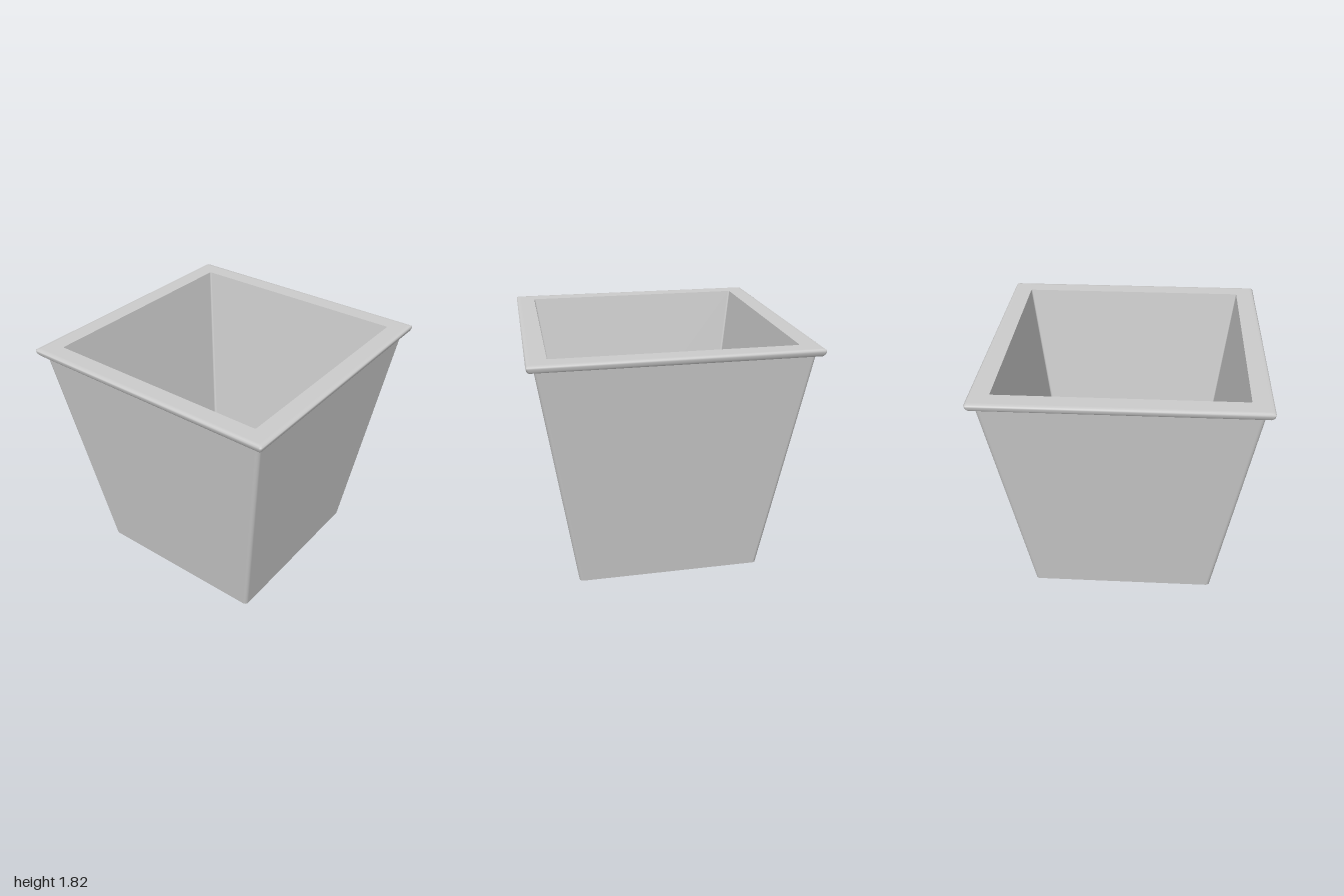
import * as THREE from 'three';

// Rounded-square ring of points: half width h, corner radius r, height y
function ring(h, y, r, steps = 4) {
  const points = [];
  for (let corner = 0; corner < 4; corner++) {
    const mid = Math.PI / 4 + corner * Math.PI / 2;
    const cx = Math.sign(Math.cos(mid)) * (h - r);
    const cz = Math.sign(Math.sin(mid)) * (h - r);
    for (let s = 0; s <= steps; s++) {
      const a = (corner + s / steps) * Math.PI / 2;
      points.push([cx + r * Math.cos(a), y, cz + r * Math.sin(a)]);
    }
  }
  return points;
}

// Skin a list of [halfWidth, y, cornerRadius] sections into a smooth band
function band(sections) {
  const rings = sections.map(([h, y, r]) => ring(h, y, r));
  const n = rings[0].length;
  const index = [];
  for (let j = 0; j < rings.length - 1; j++) {
    for (let i = 0; i < n; i++) {
      const a = j * n + i, b = j * n + (i + 1) % n;
      index.push(a, a + n, b, b, a + n, b + n);
    }
  }
  const geometry = new THREE.BufferGeometry();
  geometry.setAttribute('position', new THREE.Float32BufferAttribute(rings.flat(2), 3));
  geometry.setIndex(index);
  geometry.computeVertexNormals();
  return geometry;
}

export function createModel() {
  const planter = new THREE.Group();
  planter.name = 'planter';
  const grey = new THREE.MeshStandardMaterial({ color: 0xcccccc });
  grey.name = 'light grey';

  // Each band keeps its own normals, so edges between bands stay crisp
  const parts = {
    outerWall: [[0.695, 0, 0.03], [0.95, 1.77, 0.03]],
    rimUnderside: [[0.95, 1.77, 0.03], [0.985, 1.768, 0.015]],
    rimEdge: [[0.985, 1.768, 0.015], [0.994, 1.78, 0.015], [0.999, 1.798, 0.015],
      [1, 1.809, 0.015], [0.99, 1.816, 0.015], [0.97, 1.817, 0.015]],
    rimTop: [[0.97, 1.817, 0.015], [0.857, 1.817, 0.012]],
    innerWall: [[0.857, 1.817, 0.012], [0.61, 0, 0.02]],
    bottomEdge: [[0.61, 0, 0.02], [0.695, 0, 0.03]],
  };
  for (const [name, sections] of Object.entries(parts)) {
    const mesh = new THREE.Mesh(band(sections), grey);
    mesh.name = name;
    planter.add(mesh);
  }
  return planter;
}
